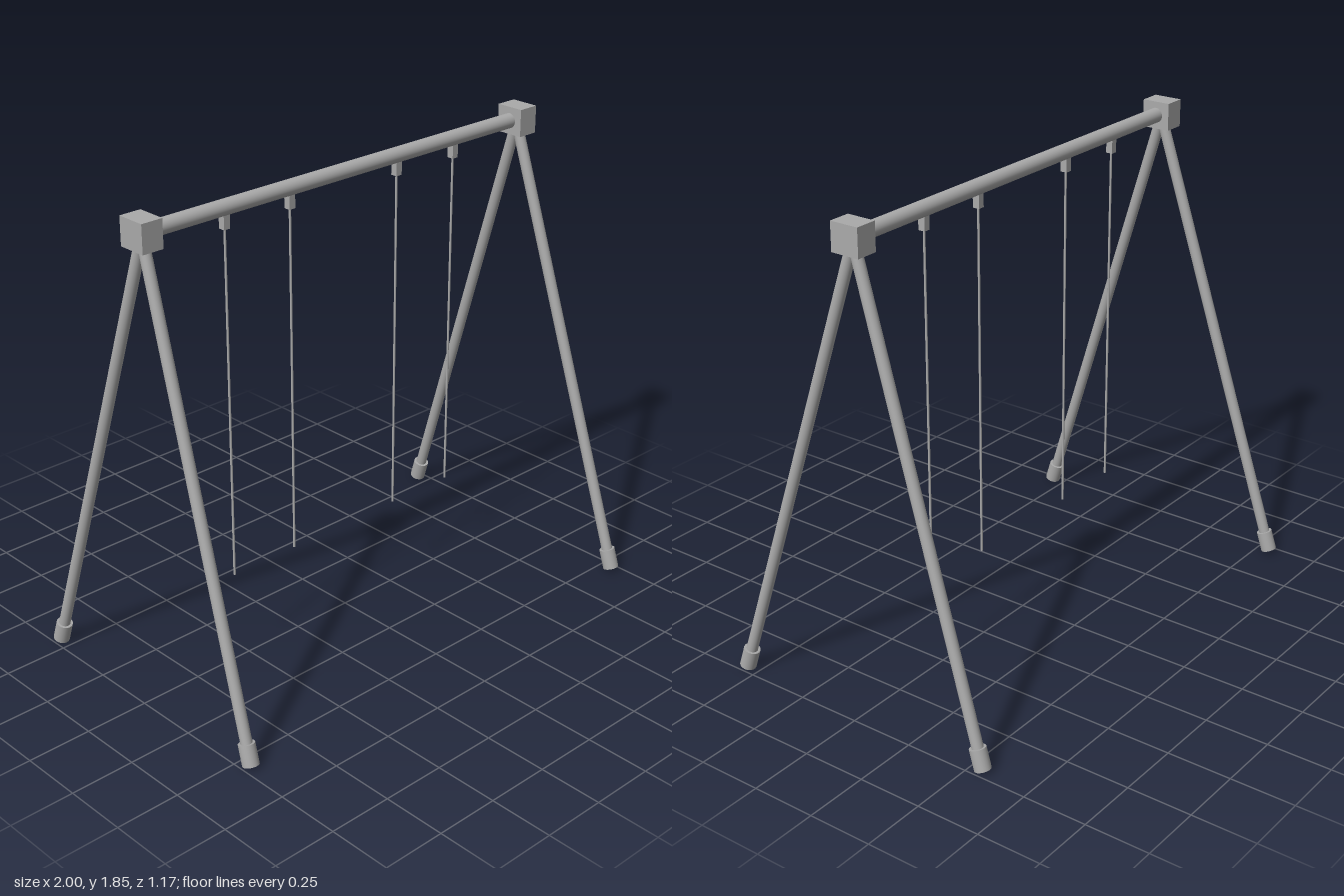
import * as THREE from 'three';

const steel = new THREE.MeshStandardMaterial({ color: 0xaaaaaa });
steel.name = 'grey steel';

// Round bar running between two points
function bar(name, from, to, radius, sides = 24) {
  const dir = to.clone().sub(from);
  const mesh = new THREE.Mesh(new THREE.CylinderGeometry(radius, radius, dir.length(), sides), steel);
  mesh.position.copy(from).add(to).multiplyScalar(0.5);
  mesh.quaternion.setFromUnitVectors(new THREE.Vector3(0, 1, 0), dir.normalize());
  mesh.name = name;
  return mesh;
}

function block(name, w, h, d, x, y) {
  const mesh = new THREE.Mesh(new THREE.BoxGeometry(w, h, d), steel);
  mesh.position.set(x, y, 0);
  mesh.name = name;
  return mesh;
}

export function createModel() {
  const model = new THREE.Group();
  model.name = 'swingFrame';
  const topY = 1.793, endX = 0.909;

  // Top beam
  model.add(bar('topBeam', new THREE.Vector3(-endX, topY, 0), new THREE.Vector3(endX, topY, 0), 0.029, 32));

  // End frames: joint block and two splayed legs with sleeved feet
  for (const sx of [-1, 1]) {
    const frame = new THREE.Group();
    frame.name = sx > 0 ? 'leftEndFrame' : 'rightEndFrame';
    frame.add(block('cornerJoint', 0.086, 0.107, 0.115, sx * endX, topY));
    for (const sz of [-1, 1]) {
      const side = sz > 0 ? 'front' : 'back';
      const top = new THREE.Vector3(sx * endX, 1.78, 0);
      const ground = new THREE.Vector3(sx * 0.968, 0.01, sz * 0.553);
      const cuffTop = ground.clone().lerp(top, 0.081 / ground.distanceTo(top));
      frame.add(bar(side + 'Leg', ground.clone().lerp(top, 0.004), top, 0.0215));
      frame.add(bar(side + 'Foot', ground, cuffTop, 0.031));
    }
    model.add(frame);
  }

  // Hangers with suspended cables
  for (const x of [-0.56, -0.264, 0.258, 0.554]) {
    model.add(block('hanger', 0.027, 0.055, 0.027, x, 1.744));
    model.add(bar('cable', new THREE.Vector3(x, 0.362, 0), new THREE.Vector3(x, 1.73, 0), 0.0045, 12));
  }
  return model;
}
